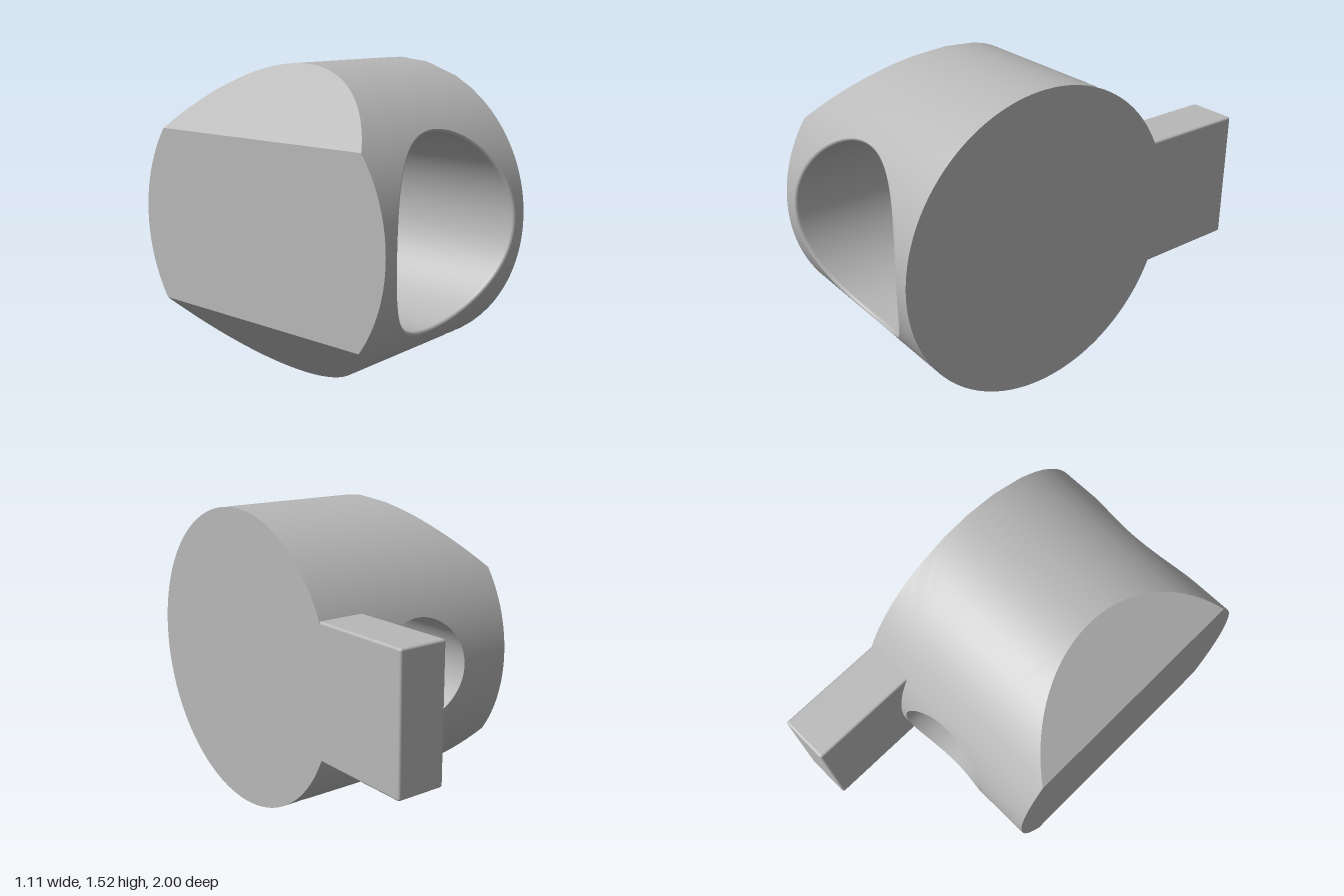
import * as THREE from 'three';
import { RoundedBoxGeometry } from 'three/addons/geometries/RoundedBoxGeometry.js';

const R = 0.7625, CY = 0.7625, CZ = 0.2375;   // drum radius and axis
const HX = 0.5525;                            // drum half length
const CUT_Y = 0.435, CUT_X = -0.225;          // where the slanted cuts start and end
const BORE = 0.465, HOLE = 0.273, RIM = 0.015, SHOULDER_Z = 0.2 - CZ;

const steel = new THREE.MeshStandardMaterial({ color: 0xb8b8b8 });
steel.name = 'grey metal';

// Quad grid; point(i, j) gives [x, y, z], and closed grids wrap around in i
function grid(cols, rows, point, closed, flip) {
  const pos = [], idx = [];
  for (let j = 0; j < rows; j++) for (let i = 0; i < cols; i++) pos.push(...point(i, j));
  for (let j = 0; j < rows - 1; j++) {
    for (let i = 0; i < (closed ? cols : cols - 1); i++) {
      const k = (i + 1) % cols;
      const a = j * cols + i, b = a + cols, c = (j + 1) * cols + k, d = j * cols + k;
      if (flip) idx.push(a, c, b, a, d, c);
      else idx.push(a, b, c, a, c, d);
    }
  }
  const g = new THREE.BufferGeometry();
  g.setAttribute('position', new THREE.Float32BufferAttribute(pos, 3));
  g.setIndex(idx);
  g.computeVertexNormals();
  return g;
}

// Drum outline seen along z: a rectangle with two corners cut off
const outline = [[HX, -R], [HX, R], [CUT_X, R], [-HX, CUT_Y], [-HX, -CUT_Y], [CUT_X, -R]];

// Distance from the centre to the outline in direction phi
function reach(phi) {
  const c = Math.cos(phi), s = Math.sin(phi);
  let best = Infinity;
  outline.forEach(([x0, y0], k) => {
    const [x1, y1] = outline[(k + 1) % outline.length];
    const nx = y1 - y0, ny = x0 - x1, along = nx * c + ny * s;
    if (along > 1e-9) best = Math.min(best, (nx * x0 + ny * y0) / along);
  });
  return best;
}

// Directions around the bore, with the outline corners included exactly
const angles = outline.map(([x, y]) => (Math.atan2(y, x) + 2 * Math.PI) % (2 * Math.PI));
for (let i = 0; i < 144; i++) angles.push((i + 0.37) / 144 * 2 * Math.PI);
angles.sort((a, b) => a - b);

const surfaceZ = y => Math.sqrt(Math.max(0, R * R - y * y));

// Half of the curved drum wall, running from a round opening to the outline
function drumWall(radius, side) {
  const rows = 25;
  const g = grid(angles.length, rows, (i, j) => {
    const phi = angles[i], t = j / (rows - 1), far = reach(phi);
    const c = Math.cos(phi), s = Math.sin(phi);
    const turn = r => Math.asin(THREE.MathUtils.clamp(r * s / R, -1, 1));
    const a = THREE.MathUtils.lerp(turn(radius), turn(far), t);
    return [THREE.MathUtils.lerp(radius, far, t) * c, R * Math.sin(a), side * R * Math.cos(a)];
  }, true, side < 0);
  const p = g.attributes.position, n = g.attributes.normal;
  for (let i = 0; i < p.count; i++) n.setXYZ(i, 0, p.getY(i) / R, p.getZ(i) / R);
  return g;
}

// Surface around the bore axis; each row gives [radius, z] for a direction
function boreLoft(rows) {
  return grid(angles.length, rows.length, (i, j) => {
    const phi = angles[i], [r, z] = rows[j](Math.sin(phi));
    return [r * Math.cos(phi), r * Math.sin(phi), z];
  }, true, false);
}

// End face spanning the drum, with x given as a function of y
function endFace(xAt, flip) {
  const ys = [-CUT_Y, CUT_Y];
  for (let i = 0; i <= 96; i++) ys.push(R * Math.sin((i / 96 - 0.5) * Math.PI));
  ys.sort((a, b) => a - b);
  const g = grid(2, ys.length, (i, j) =>
    [xAt(ys[j]), ys[j], (i ? 1 : -1) * surfaceZ(ys[j])], false, flip).toNonIndexed();
  g.computeVertexNormals();
  return g;
}

export function createModel() {
  const model = new THREE.Group();
  const drum = new THREE.Group();
  drum.name = 'drum';
  drum.position.set(0, CY, CZ);
  model.add(drum);
  const add = (name, geometry) => {
    const mesh = new THREE.Mesh(geometry, steel);
    mesh.name = name;
    drum.add(mesh);
    return mesh;
  };

  // Curved wall with a wide opening in front and a narrow one behind
  add('frontWall', drumWall(BORE + RIM, 1));
  add('backWall', drumWall(HOLE, -1));

  // Full round end, and the opposite end with its two slanted cuts
  add('roundEnd', endFace(() => HX, false));
  const slope = (CUT_X + HX) / (R - CUT_Y);
  add('slantedEnd', endFace(y => -HX + Math.max(0, Math.abs(y) - CUT_Y) * slope, true));

  // Stepped bore: narrow hole, flat shoulder, wide counterbore with rounded rim
  add('narrowHole', boreLoft([s => [HOLE, -surfaceZ(HOLE * s)], () => [HOLE, SHOULDER_Z]]));
  add('shoulder', boreLoft([() => [HOLE, SHOULDER_Z], () => [BORE, SHOULDER_Z]]));
  const mouth = s => surfaceZ((BORE + RIM) * s);
  const rows = [() => [BORE, SHOULDER_Z], s => [BORE, mouth(s) - RIM * 1.3]];
  for (let k = 5; k >= 0; k--) {
    const a = k / 5 * Math.PI / 2;
    rows.push(s => [BORE + RIM * (1 - Math.sin(a)), mouth(s) - RIM * (1 - Math.cos(a))]);
  }
  add('wideBore', boreLoft(rows));

  // Flat tab reaching out behind, flush with the round end
  const tabBack = -1 - CZ, tabFront = -0.6;
  const tab = add('tab', new RoundedBoxGeometry(0.25, 0.666, tabFront - tabBack, 3, 0.012));
  tab.position.set(HX - 0.125, 0.003, (tabBack + tabFront) / 2);

  return model;
}
